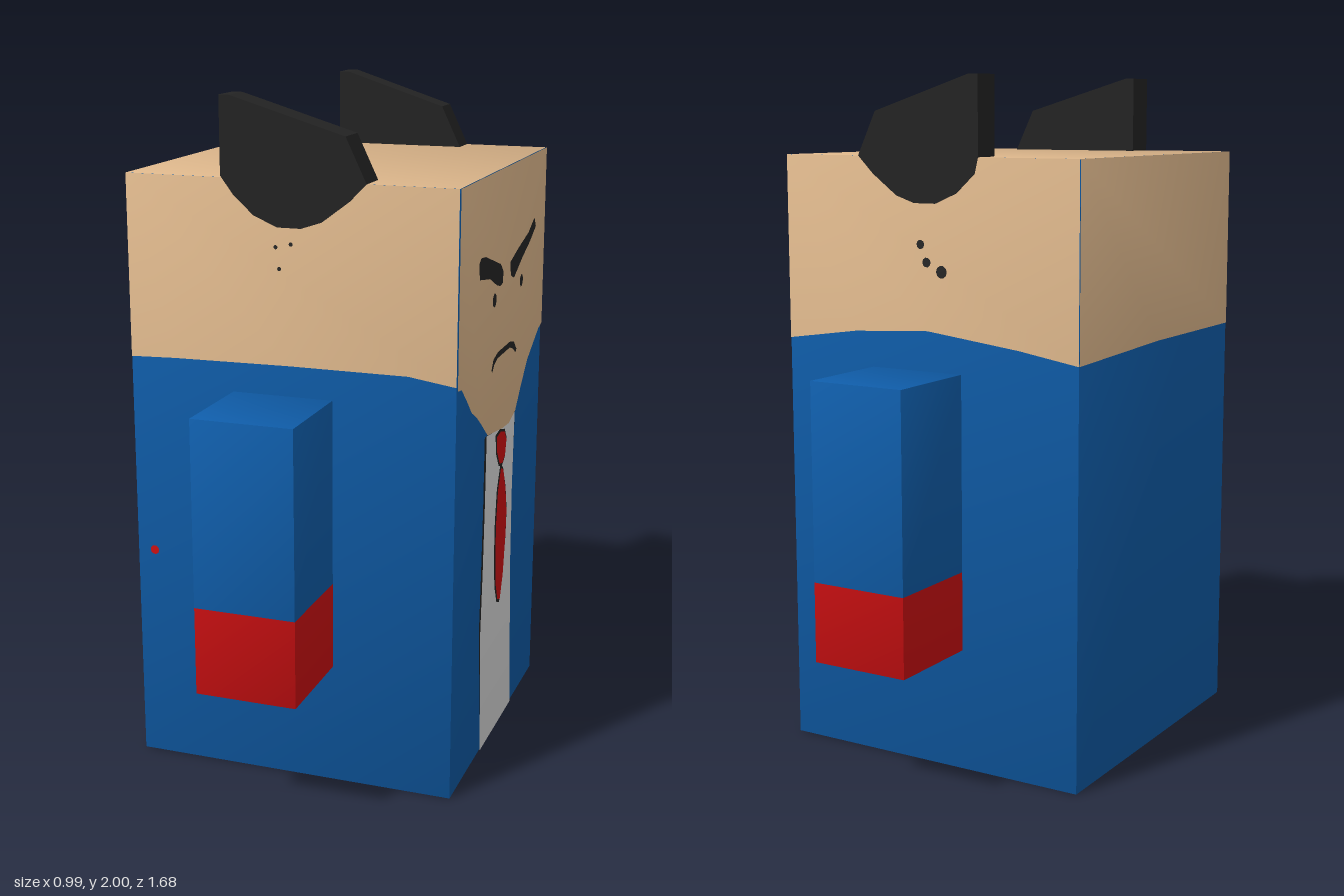
import * as THREE from 'three';

const paint = (name, color) => {
  const m = new THREE.MeshStandardMaterial({ color });
  m.name = name;
  return m;
};

// Leans box normals outwards towards the corners for a soft, moulded look
function soften(geo, centre, half, amount = 0.4) {
  const p = geo.attributes.position, n = geo.attributes.normal;
  const a = new THREE.Vector3(), b = new THREE.Vector3();
  for (let i = 0; i < p.count; i++) {
    a.fromBufferAttribute(p, i).sub(centre).divide(half).multiplyScalar(amount);
    b.fromBufferAttribute(n, i).add(a).normalize();
    n.setXYZ(i, b.x, b.y, b.z);
  }
  return geo;
}

const toShape = (pts) => new THREE.Shape(pts.map(([x, y]) => new THREE.Vector2(x, y)));

// Enlarges an outline about its middle by a fixed margin
function grow(pts, margin) {
  const xs = pts.map((p) => p[0]), ys = pts.map((p) => p[1]);
  const mid = (v) => (Math.max(...v) + Math.min(...v)) / 2;
  const half = (v) => (Math.max(...v) - Math.min(...v)) / 2;
  const kx = 1 + margin / half(xs), ky = 1 + margin / half(ys);
  return pts.map(([x, y]) => [mid(xs) + (x - mid(xs)) * kx, mid(ys) + (y - mid(ys)) * ky]);
}

const dot = (x, y, r) => Array.from({ length: 10 }, (_, i) => {
  const t = (i / 10) * Math.PI * 2;
  return [x + r * Math.cos(t), y + r * Math.sin(t)];
});

export function createModel() {
  const model = new THREE.Group();
  model.name = 'blockFigure';
  const blue = paint('jacketBlue', 0x0f5ca8);
  const tan = paint('skinTan', 0xdbb58a);
  const red = paint('red', 0xd01012);
  const white = paint('shirtWhite', 0xdedede);
  const black = paint('black', 0x242424);

  const add = (name, geo, mat) => {
    const mesh = new THREE.Mesh(geo, mat);
    mesh.name = name;
    model.add(mesh);
    return mesh;
  };

  // Body block: jacket colour with a skin coloured top
  const H = 1.775;
  const centre = new THREE.Vector3(0, H / 2, 0.007);
  const half = new THREE.Vector3(0.488, H / 2, 0.49);
  const body = new THREE.BoxGeometry(half.x * 2, H, half.z * 2);
  body.translate(centre.x, centre.y, centre.z);
  add('body', soften(body, centre, half), [blue, blue, tan, blue, blue, blue]);

  // Flat painted shape on one side; points are (x or z, y) in model space
  const sides = {
    left: { angle: Math.PI / 2, flip: -1, shift: [half.x, 0] },
    right: { angle: -Math.PI / 2, flip: 1, shift: [-half.x, 0] },
    front: { angle: 0, flip: 1, shift: [0, centre.z + half.z] },
    back: { angle: Math.PI, flip: -1, shift: [0, centre.z - half.z] },
  };
  const panel = (name, side, pts, mat, layer = 1) => {
    const { angle, flip, shift } = sides[side];
    const geo = new THREE.ShapeGeometry(toShape(pts.map(([a, y]) => [a * flip, y])));
    geo.translate(0, 0, layer * 0.0018).rotateY(angle).translate(shift[0], 0, shift[1]);
    return add(name, soften(geo, centre, half), mat);
  };

  // Skin above the jacket on each side
  const z0 = centre.z - half.z, z1 = centre.z + half.z, x1 = half.x;
  panel('headFront', 'front', [[-x1, H], [-x1, 1.245], [-0.35, 1.25], [0, 1.255], [0.35, 1.255],
    [x1, 1.235], [x1, H]], tan);
  panel('headBack', 'back', [[-x1, H], [-x1, 1.22], [-0.3, 1.25], [0, 1.285], [0.25, 1.27],
    [x1, 1.235], [x1, H]], tan);
  panel('headRight', 'right', [[z0, H], [z0, 1.22], [0, 1.235], [z1, 1.235], [z1, H]], tan);
  panel('face', 'left', [[z1, H], [z1, 1.225], [0.46, 1.22], [0.4, 1.17], [0.35, 1.125],
    [0.3, 1.1], [0.24, 1.06], [0.17, 1.01], [0.1, 1.0], [0, 0.985], [-0.08, 0.98], [-0.16, 1.0],
    [-0.22, 1.06], [-0.3, 1.13], [-0.38, 1.17], [-0.44, 1.2], [z0, 1.21], [z0, H]], tan, 2);

  // Shirt strip with dark edges
  panel('shirtEdge', 'left', [[0.195, 1.01], [0.195, 0.8], [0.202, 0.6], [0.212, 0.4], [0.195, 0.25],
    [0.18, 0.1], [-0.165, 0.2], [-0.172, 0.3], [-0.155, 0.5], [-0.15, 0.75], [-0.162, 1.0]], black);
  panel('shirt', 'left', [[0.18, 1.01], [0.183, 0.8], [0.19, 0.6], [0.203, 0.4], [0.19, 0.2], [0.18, 0],
    [-0.19, 0], [-0.177, 0.15], [-0.165, 0.3], [-0.148, 0.5], [-0.143, 0.75], [-0.153, 1.0],
    [-0.08, 0.98], [0, 0.985], [0.1, 1.0]], white, 2);

  // Tie with dark outline
  const knot = [[0.073, 0.978], [0.068, 0.93], [0.035, 0.885], [0, 0.875], [-0.03, 0.893],
    [-0.043, 0.94], [-0.02, 0.97], [0.03, 0.983]];
  const blade = [[0.015, 0.865], [0.045, 0.8], [0.058, 0.7], [0.058, 0.6], [0.046, 0.5], [0.02, 0.44],
    [-0.01, 0.428], [-0.04, 0.5], [-0.062, 0.62], [-0.067, 0.7], [-0.048, 0.78], [-0.015, 0.85]];
  for (const [name, pts] of [['tieKnot', knot], ['tieBlade', blade]]) {
    panel(name + 'Outline', 'left', grow(pts, 0.009), black, 3);
    panel(name, 'left', pts, red, 4);
  }

  // Facial features
  panel('browA', 'left', [[0.31, 1.54], [0.29, 1.555], [0.24, 1.55], [0.07, 1.5], [0.04, 1.475],
    [0.04, 1.44], [0.07, 1.435], [0.11, 1.445], [0.19, 1.478], [0.3, 1.495]], black, 3);
  panel('browB', 'left', [[-0.045, 1.487], [-0.14, 1.513], [-0.26, 1.54], [-0.335, 1.575],
    [-0.355, 1.545], [-0.285, 1.51], [-0.19, 1.475], [-0.09, 1.43], [-0.05, 1.445]], black, 3);
  panel('eyeA', 'left', dot(0.132, 1.405, 0.021), black, 3);
  panel('eyeB', 'left', dot(-0.185, 1.405, 0.019), black, 3);
  panel('mouth', 'left', [[0.15, 1.2], [0.13, 1.228], [0.08, 1.24], [-0.06, 1.24], [-0.11, 1.23],
    [-0.145, 1.2], [-0.135, 1.19], [-0.1, 1.21], [-0.06, 1.222], [0.08, 1.222], [0.12, 1.21],
    [0.14, 1.192]], black, 3);

  // Small specks on the sides
  for (const [x, y] of [[-0.035, 1.59], [0.01, 1.6], [-0.025, 1.53]])
    panel('frontSpeck', 'front', dot(x, y, 0.006), black, 2);
  for (const [x, y, r] of [[0.02, 1.53, 0.013], [0, 1.48, 0.014], [-0.05, 1.455, 0.018]])
    panel('backSpeck', 'back', dot(x, y, r), black, 2);
  panel('redSpeck', 'front', dot(-0.435, 0.655, 0.014), red);

  // Ears: upright plates whose rounded roots sink into the body
  const ear = (name, leftX, zMin, zMax) => {
    const shape = toShape([[leftX, 2], [leftX + 0.03, 2], [0.17, 1.9], [0.23, 1.775], [0.18, 1.725],
      [0.1, 1.665], [0.04, 1.645], [-0.03, 1.645], [-0.1, 1.675], [-0.16, 1.73], [leftX, 1.78]]);
    const geo = new THREE.ExtrudeGeometry(shape, { depth: zMax - zMin, bevelEnabled: false });
    add(name, geo.translate(0, 0, zMin), black);
  };
  ear('frontEar', -0.197, 0.405, z1 + 0.004);
  ear('backEar', -0.172, z0 - 0.004, -0.4);

  // Floating arms: blue sleeve above a red hand
  const arm = (name, z, split) => {
    const c = new THREE.Vector3(-0.002, 0.7825, z), h = new THREE.Vector3(0.148, 0.3975, 0.148);
    for (const [part, lo, hi, mat] of [['Sleeve', split, 1.18, blue], ['Hand', 0.385, split, red]]) {
      const geo = new THREE.BoxGeometry(h.x * 2, hi - lo, h.z * 2);
      geo.translate(c.x, (lo + hi) / 2, z);
      add(name + part, soften(geo, c, h), mat);
    }
  };
  arm('frontArm', 0.692, 0.64);
  arm('backArm', -0.692, 0.615);

  return model;
}
